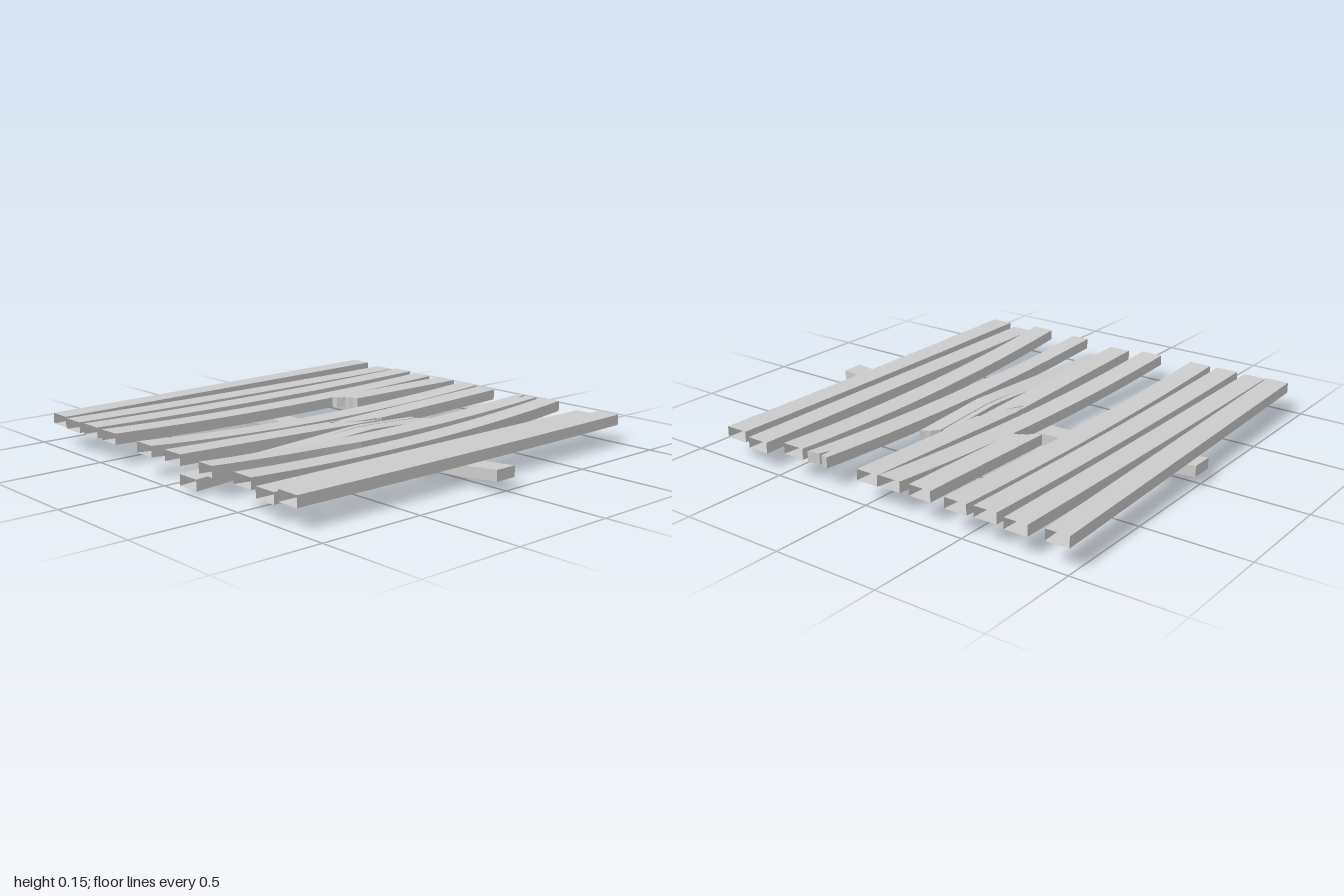
import * as THREE from 'three';

const material = new THREE.MeshStandardMaterial({ color: 0xcccccc, flatShading: true, side: THREE.DoubleSide });
const THICK = 0.05, STEPS = 20, END = 0.98;

// Piecewise linear lookup: rows are [key, a, b, ...], returns column col at key k
function sample(rows, k, col) {
  let i = 0;
  while (i < rows.length - 2 && k > rows[i + 1][0]) i++;
  const [p, q] = [rows[i], rows[i + 1]];
  return THREE.MathUtils.lerp(p[col], q[col], (k - p[0]) / (q[0] - p[0]));
}

// Hollow plank along x. Stations are [x, zBack, zFront, yBottom];
// an optional broken end is a list of [share of width, x] and gets a cap.
function plank(name, stations, { sag = 0, brokenLow, brokenHigh } = {}) {
  const low = brokenLow ?? [[0, stations[0][0]], [1, stations[0][0]]];
  const xMax = stations[stations.length - 1][0];
  const high = brokenHigh ?? [[0, xMax], [1, xMax]];
  const across = (brokenLow ?? high).map(p => p[0]);
  // Section loop: over the top from back to front, back along the underside
  const loop = [...across.map(v => [v, 1]), ...across.slice().reverse().map(v => [v, 0])];
  const n = loop.length, positions = [], index = [];
  for (let i = 0; i <= STEPS; i++) {
    for (const [v, t] of loop) {
      const x = THREE.MathUtils.lerp(sample(low, v, 1), sample(high, v, 1), i / STEPS);
      const z = THREE.MathUtils.lerp(sample(stations, x, 1), sample(stations, x, 2), v);
      const y = sample(stations, x, 3) - sag * (1 - (x / END) ** 2) + t * THICK;
      positions.push(x, y, z);
    }
  }
  for (let i = 0; i < STEPS; i++) {
    for (let j = 0; j < n; j++) {
      const a = i * n + j, d = i * n + (j + 1) % n;
      index.push(a, d, d + n, a, d + n, a + n);
    }
  }
  // Broken faces
  for (let j = 0; j < across.length - 1; j++) {
    const [a, b, c, d] = [j, j + 1, n - 2 - j, n - 1 - j];
    const o = STEPS * n;
    if (brokenLow) index.push(a, c, b, a, d, c);
    if (brokenHigh) index.push(a + o, b + o, c + o, a + o, c + o, d + o);
  }
  const indexed = new THREE.BufferGeometry();
  indexed.setAttribute('position', new THREE.Float32BufferAttribute(positions, 3));
  indexed.setIndex(index);
  const geometry = indexed.toNonIndexed();
  geometry.computeVertexNormals();
  const mesh = new THREE.Mesh(geometry, material);
  mesh.name = name;
  return mesh;
}

export function createModel() {
  const group = new THREE.Group();
  group.name = 'brokenWalkway';

  // Bowed beam running under the planks
  const beamGeometry = new THREE.BoxGeometry(0.11, THICK, 2, 1, 1, 24);
  const pos = beamGeometry.attributes.position;
  for (let i = 0; i < pos.count; i++) {
    pos.setY(i, pos.getY(i) + THICK / 2 + 0.05 * pos.getZ(i) ** 2);
  }
  const beam = new THREE.Mesh(beamGeometry.toNonIndexed(), material);
  beam.geometry.computeVertexNormals();
  beam.position.x = -0.005;
  beam.name = 'supportBeam';
  group.add(beam);

  // Whole planks: back edge z at -x, back edge z at +x, y at -x, y at +x, sag
  const whole = [
    [-0.93, -0.99, 0.1, 0.1, 0],
    [-0.81, -0.80, 0.095, 0.09, 0.005],
    [-0.66, -0.655, 0.098, 0.098, 0.012],
    [-0.51, -0.51, 0.097, 0.093, 0.02],
    [-0.23, -0.17, 0.095, 0.095, 0.033],
    [0.45, 0.37, 0.1, 0.1, 0.033],
    [0.59, 0.59, 0.072, 0.072, 0],
    [0.725, 0.72, 0.09, 0.092, 0.004],
  ];
  whole.forEach(([z0, z1, y0, y1, sag], i) => {
    group.add(plank(`plank${i + 1}`, [[-END, z0, z0 + 0.11, y0], [END, z1, z1 + 0.11, y1]], { sag }));
  });

  // Short stub left of a snapped plank
  group.add(plank('snappedStub', [[0.24, -0.345, -0.235, 0.095], [END, -0.33, -0.22, 0.098]], {
    brokenLow: [[0, 0.24], [0.25, 0.245], [0.45, 0.28], [0.6, 0.285], [0.75, 0.3], [1, 0.305]],
  }));

  // Cracked plank in two pieces that sink towards the crack
  const crack = [[0, -0.03], [0.1, 0.01], [0.16, -0.06], [0.4, -0.01], [0.6, 0.05], [0.75, 0.08], [0.88, 0.16], [1, 0.18]];
  group.add(plank('crackedPlankRight', [[-0.96, -0.05, 0.06, 0.09], [0.2, -0.05, 0.06, 0.057]], { brokenHigh: crack }));
  group.add(plank('crackedPlankLeft', [[-0.06, -0.05, 0.06, 0.06], [END, -0.05, 0.06, 0.09]], {
    brokenLow: crack.map(([v, x]) => [v, x + 0.008]),
  }));

  // Long snapped plank, dropped at its far end, with a split along the grain
  group.add(plank('snappedPlank', [[-END, 0.085, 0.2, 0.015], [0, 0.085, 0.195, 0.066], [0.43, 0.08, 0.19, 0.045]], {
    brokenHigh: [[0, 0.36], [0.26, 0.365], [0.29, 0.04], [0.33, 0.37], [0.6, 0.405], [0.8, 0.415], [1, 0.43]],
  }));

  // Worn plank, narrower at one end and notched at the other
  group.add(plank('notchedPlank', [[-END, 0.22, 0.31, 0.095], [-0.35, 0.225, 0.32, 0.095], [-0.2, 0.225, 0.335, 0.095], [END, 0.23, 0.34, 0.097]], {
    sag: 0.03,
    brokenHigh: [[0, END], [0.3, 0.975], [0.4, 0.91], [0.5, 0.965], [1, 0.98]],
  }));

  return group;
}
